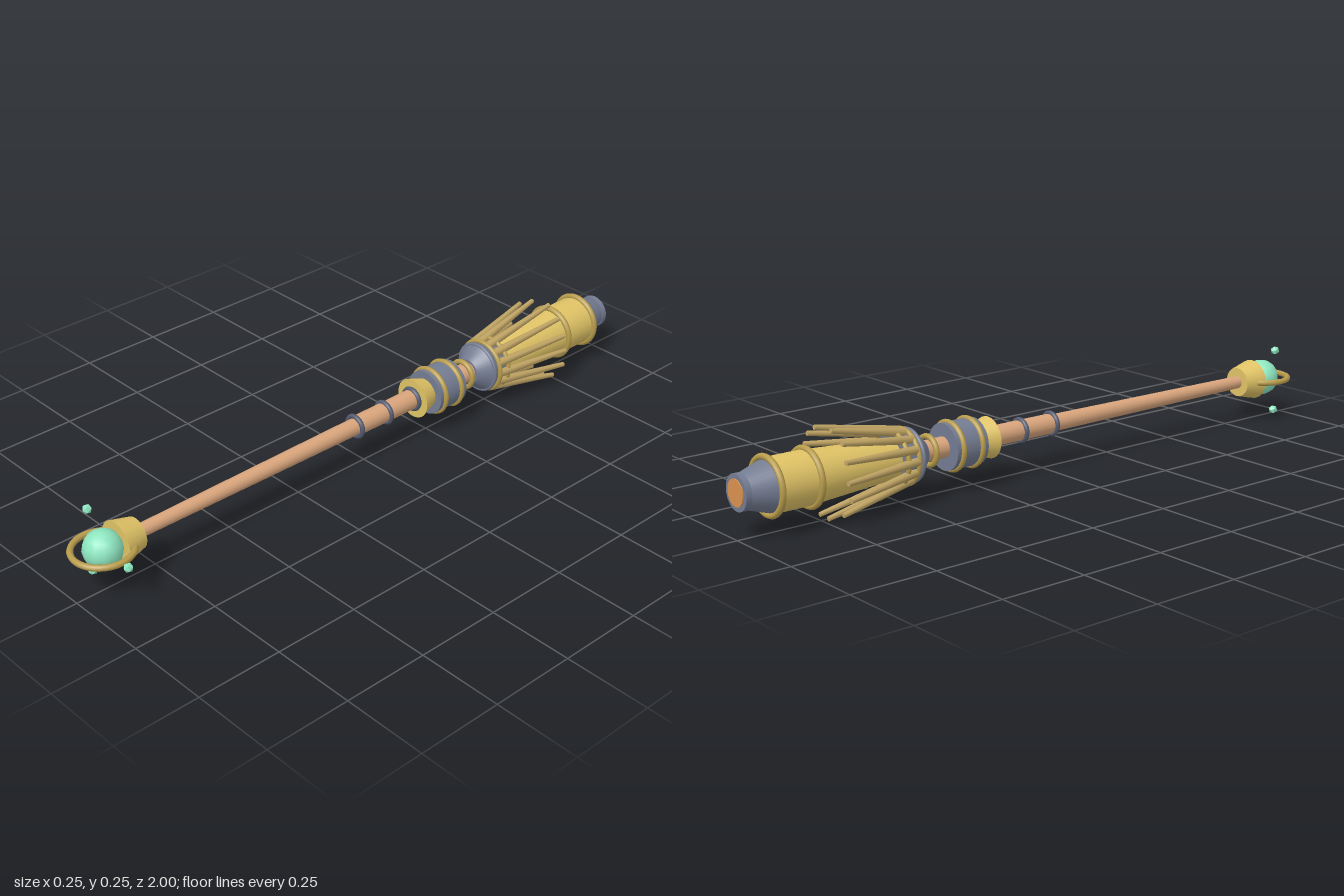
import * as THREE from 'three';

const mat = (name, color) => {
  const m = new THREE.MeshStandardMaterial({ color });
  m.name = name;
  return m;
};

export function createModel() {
  const gold = mat('gold', 0xe0c366);
  const bronze = mat('bronze', 0xb99d4c);
  const straw = mat('straw', 0xbfa363);
  const slate = mat('slate', 0x747c92);
  const iron = mat('darkIron', 0x555c70);
  const wood = mat('wood', 0xd9a57c);
  const green = mat('orbGreen', 0x8ee6c0);
  const copper = mat('copper', 0xd8914f);

  // The whole staff lies along z; its axis is raised above the ground
  const model = new THREE.Group();
  model.name = 'staff';
  const staff = new THREE.Group();
  staff.name = 'staffBody';
  staff.position.y = 0.127;
  model.add(staff);

  const add = (name, geometry, material, x = 0, y = 0, z = 0) => {
    const mesh = new THREE.Mesh(geometry, material);
    mesh.name = name;
    mesh.position.set(x, y, z);
    staff.add(mesh);
    return mesh;
  };
  // Turned section from z0 (radius r0) to z1 (radius r1)
  const band = (name, material, z0, z1, r0, r1 = r0, sides = 28) =>
    add(name, new THREE.CylinderGeometry(r1, r0, z1 - z0, sides).rotateX(Math.PI / 2), material, 0, 0, (z0 + z1) / 2);
  // Ring around the staff
  const ring = (name, material, z, radius, tube) =>
    add(name, new THREE.TorusGeometry(radius, tube, 8, 32), material, 0, 0, z);

  // Wooden shaft and grip
  band('shaft', wood, 0.03, 0.81, 0.025, 0.019, 16);
  band('grip', wood, -0.45, 0.035, 0.03, 0.029, 20);
  for (const z of [0.033, -0.08, -0.19]) ring('gripRing', iron, z, 0.031, 0.007);

  // Flared guard and drum
  band('guard', gold, -0.25, -0.195, 0.042, 0.06);
  band('drum', slate, -0.35, -0.245, 0.067);
  for (const z of [-0.33, -0.265]) ring('drumRing', bronze, z, 0.067, 0.008);
  ring('neckRing', bronze, -0.402, 0.04, 0.008);

  // Collar holding the bristles
  band('collarCone', slate, -0.465, -0.425, 0.073, 0.038);
  band('collar', slate, -0.525, -0.465, 0.07, 0.073);
  ring('collarLip', slate, -0.467, 0.072, 0.006);
  for (const z of [-0.485, -0.52]) ring('collarRing', bronze, z, 0.076, 0.007);

  // Barrel, muzzle and end plug
  band('barrelTaper', gold, -0.79, -0.52, 0.073, 0.055);
  band('barrel', gold, -0.91, -0.79, 0.074);
  for (const z of [-0.908, -0.79]) ring('barrelRing', bronze, z, 0.077, 0.009);
  band('muzzle', slate, -0.985, -0.91, 0.046, 0.07);
  band('muzzleRim', slate, -0.997, -0.98, 0.05);
  band('endPlug', copper, -1, -0.995, 0.037);

  // Splayed, tapering bristles of slightly uneven length
  const count = 14;
  for (let i = 0; i < count; i++) {
    const a = (i / count) * Math.PI * 2;
    const c = Math.cos(a), s = Math.sin(a);
    const reach = i === 0 ? 0.112 : 0.121 + 0.003 * Math.sin(i * 2.3);
    const base = new THREE.Vector3(c * 0.07, s * 0.07, -0.485);
    const tip = new THREE.Vector3(c * reach, s * reach, -0.735 + 0.01 * Math.sin(i * 1.7));
    const dir = tip.clone().sub(base);
    const bristle = add('bristle', new THREE.CylinderGeometry(0.007, 0.013, dir.length(), 8), straw);
    bristle.position.copy(base).add(tip).multiplyScalar(0.5);
    bristle.quaternion.setFromUnitVectors(new THREE.Vector3(0, 1, 0), dir.normalize());
  }

  // Cup, orb and the level ring around it
  band('orbCup', gold, 0.8, 0.865, 0.045, 0.061, 20);
  add('orb', new THREE.SphereGeometry(0.055, 12, 8), green, 0, 0, 0.907);
  add('orbRing', new THREE.TorusGeometry(0.083, 0.009, 8, 36).rotateX(Math.PI / 2), bronze, 0, 0, 0.908);

  // Small floating gems, each with one corner facing forward
  const gem = new THREE.IcosahedronGeometry(0.014, 0).rotateX(0.5536);
  for (let i = 0; i < 3; i++) {
    const a = (i / 3) * Math.PI * 2;
    add('gem', gem, green, Math.cos(a) * 0.11, Math.sin(a) * 0.11, 0.908);
  }
  return model;
}
